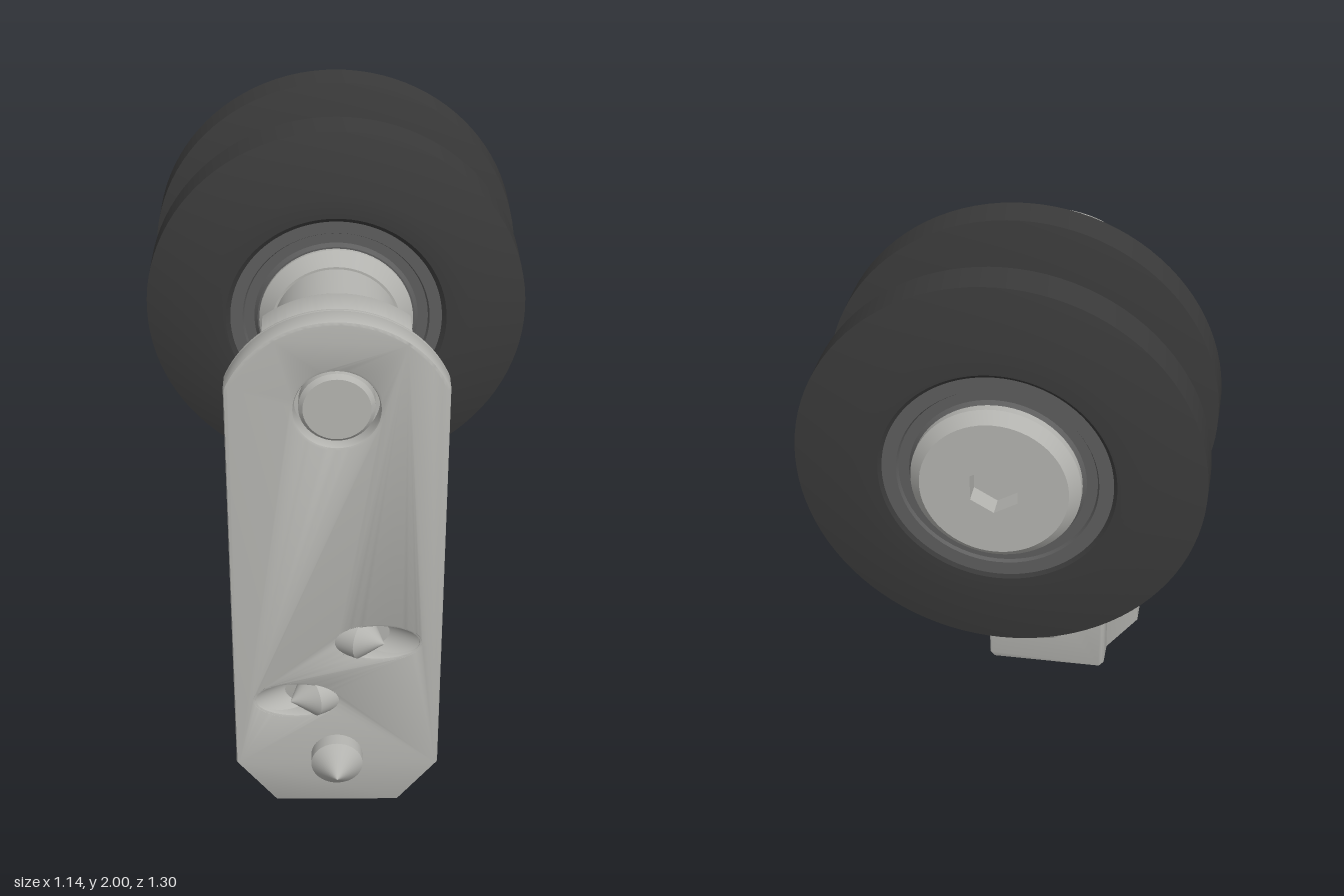
import * as THREE from 'three';
import { toCreasedNormals } from 'three/addons/utils/BufferGeometryUtils.js';

const metal = new THREE.MeshStandardMaterial({ color: 0xb4b4b0, side: THREE.DoubleSide });
metal.name = 'steel';
const rubber = new THREE.MeshStandardMaterial({ color: 0x3a3a3a });
rubber.name = 'black rubber';
const bearingGrey = new THREE.MeshStandardMaterial({ color: 0x5e5e5e });
bearingGrey.name = 'bearing grey';

const AXLE_Y = 1.43;

function part(name, geometry, material = metal) {
  const mesh = new THREE.Mesh(geometry, material);
  mesh.name = name;
  return mesh;
}

// Turned part along z; profile points are [radius, z]
function turned(name, points, material = metal, segments = 64) {
  const lathe = new THREE.LatheGeometry(points.map(([r, z]) => new THREE.Vector2(r, z)), segments);
  return part(name, toCreasedNormals(lathe.rotateX(Math.PI / 2), 0.4), material);
}

// Bevelled slab between z0 and z1
function slab(name, shape, z0, z1, bevel) {
  const geometry = new THREE.ExtrudeGeometry(shape, {
    depth: z1 - z0 - 2 * bevel, curveSegments: 32, bevelEnabled: true,
    bevelThickness: bevel, bevelSize: bevel, bevelOffset: -bevel, bevelSegments: 2,
  });
  geometry.translate(0, 0, z0 + bevel);
  return part(name, toCreasedNormals(geometry, 0.5));
}

// Flat end face looking to -z, with a hexagonal recess
function hexSocket(faceRadius, hexRadius, depth) {
  const group = new THREE.Group();
  group.name = 'hexSocket';
  const face = new THREE.Shape().absarc(0, 0, faceRadius, 0, Math.PI * 2);
  const hex = [];
  for (let i = 0; i < 6; i++) {
    const a = (i * Math.PI) / 3 + Math.PI / 6;
    hex.push(new THREE.Vector2(Math.cos(a) * hexRadius, Math.sin(a) * hexRadius));
  }
  face.holes.push(new THREE.Path(hex));
  const walls = new THREE.CylinderGeometry(hexRadius, hexRadius, depth, 6, 1, true).rotateX(Math.PI / 2);
  group.add(part('socketFace', new THREE.ShapeGeometry(face, 32).rotateY(Math.PI)));
  const wallMesh = part('socketWalls', toCreasedNormals(walls.translate(0, 0, depth / 2), 0.3));
  wallMesh.rotation.z = Math.PI / 6;
  const floor = part('socketFloor', new THREE.ShapeGeometry(new THREE.Shape(hex)).rotateY(Math.PI));
  floor.position.z = depth;
  wallMesh.rotation.z = 0;
  // cylinder corners start on the y axis, so turn them onto the hexagon
  wallMesh.rotation.z = 0;
  group.add(wallMesh, floor);
  return group;
}

// Cone-point screw: socket at z = 0, point towards +z
function pointedScrew(name, r, length, tip) {
  const group = new THREE.Group();
  group.name = name;
  group.add(
    turned('screwBody', [[r - 0.018, 0], [r - 0.005, 0.006], [r, 0.018], [r, length]], metal, 40),
    turned('screwPoint', [[r, length], [0, length + tip]], metal, 40),
    hexSocket(r - 0.018, r * 0.52, 0.035));
  return group;
}

// Arched outline shared by the plate and its rear rib
function archedTop(shape, halfWidth) {
  const cy = 1.368, r = 0.337;
  const a = Math.acos(halfWidth / r);
  shape.absarc(0, cy, r, a, Math.PI - a, false);
}

function plateShape() {
  const s = new THREE.Shape();
  s.moveTo(-0.19, 0);
  s.lineTo(0.19, 0);
  s.lineTo(0.312, 0.155);
  archedTop(s, 0.312);
  s.lineTo(-0.312, 0.155);
  s.closePath();
  return s;
}

// Slanted wall of a screw slot, running back from the front face
function slotWall(x, y, rx, ry, side) {
  const geometry = new THREE.CylinderGeometry(1, 1, 0.055, 40, 1, true).rotateX(Math.PI / 2);
  const p = geometry.attributes.position;
  for (let i = 0; i < p.count; i++) {
    const z = p.getZ(i) - 0.0275;
    p.setXYZ(i, x + p.getX(i) * rx + side * z * Math.sqrt(3), y + p.getY(i) * ry, 0.53 + z);
  }
  geometry.computeVertexNormals();
  return part('slotWall', geometry);
}

export function createModel() {
  const model = new THREE.Group();
  model.name = 'rollerBracket';

  // Mounting plate: solid back layer, front layer with openings
  const bracket = new THREE.Group();
  bracket.name = 'bracket';
  const bevel = 0.01;
  const front = plateShape();
  front.holes.push(new THREE.Path().absarc(0, AXLE_Y, 0.12, 0, Math.PI * 2, true));
  const screws = [{ side: 1, y: 0.625 }, { side: -1, y: 0.405 }];
  for (const { side, y } of screws) {
    front.holes.push(new THREE.Path().absellipse(side * 0.122, y, 0.132 - bevel, 0.068 - bevel, 0, Math.PI * 2, true));
    bracket.add(slotWall(side * 0.122, y, 0.132, 0.068, side));
  }
  bracket.add(slab('plateBack', plateShape(), 0.445, 0.475, bevel));
  bracket.add(slab('plateFront', front, 0.455, 0.53, bevel));

  // Rear rib with a pocket on each side for the slanted screws
  const rib = new THREE.Shape();
  rib.moveTo(-0.19, 0.002);
  rib.lineTo(0.19, 0.002);
  rib.lineTo(0.205, 0.02);
  rib.lineTo(0.205, 0.3);
  rib.lineTo(0.025, 0.3);
  rib.lineTo(0.025, 0.52);
  rib.lineTo(0.205, 0.52);
  archedTop(rib, 0.205);
  rib.lineTo(-0.205, 0.735);
  rib.lineTo(-0.025, 0.735);
  rib.lineTo(-0.025, 0.515);
  rib.lineTo(-0.205, 0.515);
  rib.lineTo(-0.205, 0.02);
  rib.closePath();
  bracket.add(slab('rearRib', rib, 0.357, 0.46, 0.008));
  model.add(bracket);

  // Slanted screws and the straight one below
  for (const { side, y } of screws) {
    const screw = pointedScrew('slantedScrew', 0.068, 0.22, 0.07);
    screw.position.set(-side * 0.11, y, 0.39);
    screw.rotation.y = (side * Math.PI) / 3;
    model.add(screw);
  }
  const lower = pointedScrew('lowerScrew', 0.079, 0.23, 0.075);
  lower.position.set(0, 0.19, 0.342);
  model.add(lower);

  // Axle, spacer and rollers share one centre line
  const axle = new THREE.Group();
  axle.name = 'axleAssembly';
  axle.position.y = AXLE_Y;
  axle.add(
    turned('axleEnd', [[0.107, 0.46], [0.107, 0.513], [0.095, 0.525], [0, 0.525]]),
    turned('spacer', [[0.185, 0.03], [0.185, 0.345], [0.195, 0.36]]),
    turned('coneWasher', [[0.23, -0.02], [0.23, 0], [0.192, 0.035], [0.1, 0.035]]),
    turned('hubSleeve', [[0.235, -0.4], [0.235, -0.2]]),
    turned('boltHead', [[0.205, -0.65], [0.235, -0.62], [0.235, -0.59]]));
  const socket = hexSocket(0.205, 0.075, 0.06);
  socket.position.z = -0.65;
  axle.add(socket);

  // Two rollers: bevelled tyre around a stepped bearing
  for (const z of [0, -0.389]) {
    const roller = new THREE.Group();
    roller.name = 'roller';
    roller.position.z = z;
    roller.add(turned('tyre', [
      [0.33, -0.216], [0.4, -0.216], [0.571, -0.181], [0.571, -0.068],
      [0.4, 0], [0.33, 0], [0.31, -0.015], [0.31, -0.2], [0.33, -0.216],
    ], rubber, 96));
    roller.add(turned('bearing', [
      [0.2, -0.208], [0.235, -0.208], [0.245, -0.198], [0.275, -0.198], [0.28, -0.208], [0.322, -0.208],
      [0.322, -0.01], [0.28, -0.01], [0.275, -0.02], [0.245, -0.02], [0.235, -0.01], [0.2, -0.01],
    ], bearingGrey));
    axle.add(roller);
  }
  model.add(axle);
  return model;
}
